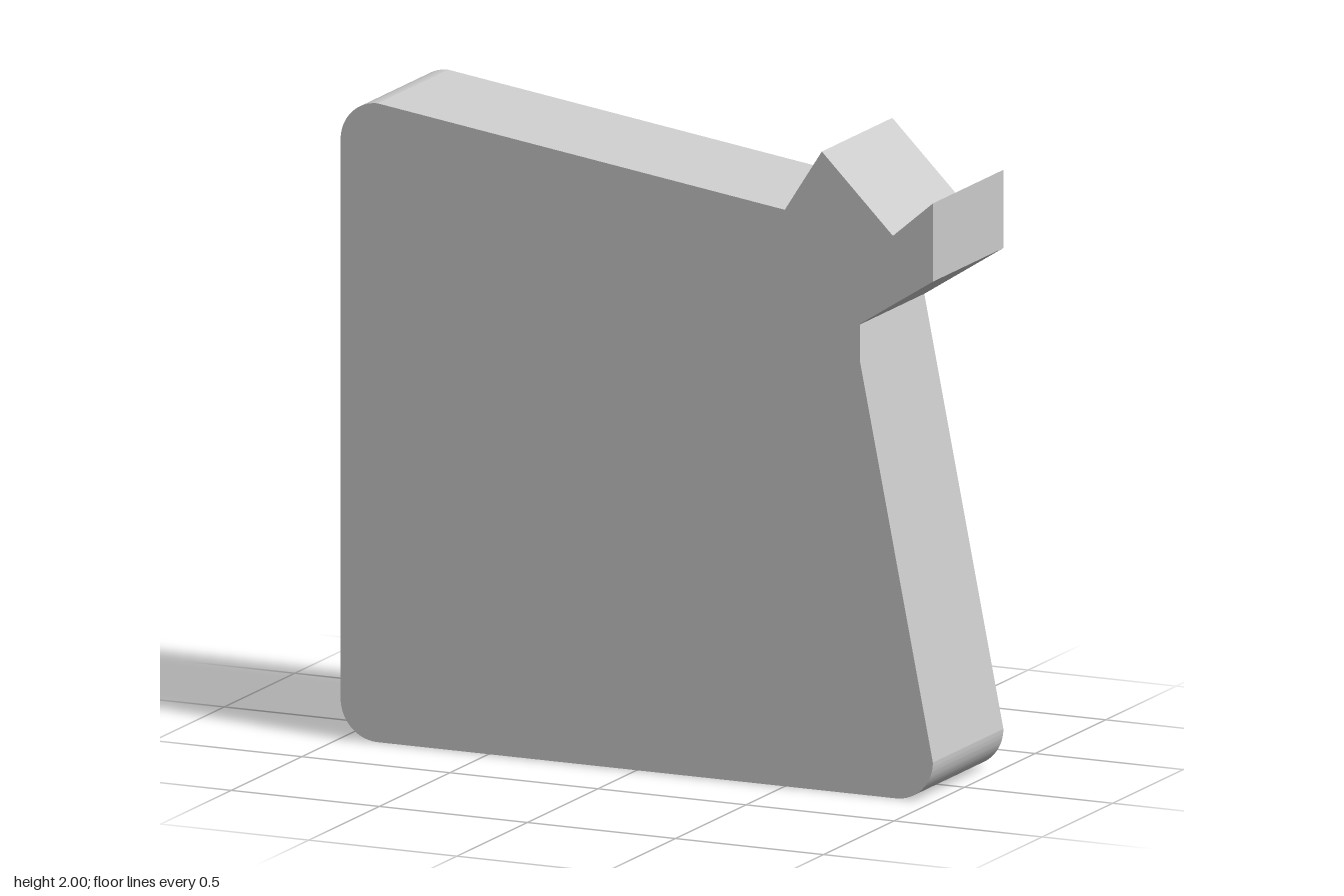
import * as THREE from 'three';
import { toCreasedNormals } from 'three/addons/utils/BufferGeometryUtils.js';

const grey = new THREE.MeshStandardMaterial({ color: 0xcccccc });
const greySheet = new THREE.MeshStandardMaterial({ color: 0xcccccc, side: THREE.DoubleSide });

const depth = 0.5, back = -0.275, radius = 0.125;

// Slab outline: three rounded corners, and a notched crest at the upper right
function bodyShape() {
  const inner = 1 - radius;
  const s = new THREE.Shape();
  s.moveTo(-inner, 0);
  s.lineTo(inner, 0);
  s.absarc(inner, radius, radius, -Math.PI / 2, 0);
  for (const [x, y] of [
    [0.733, 1.46], [1, 1.63], [1, 1.875],
    [0.865, 1.76], [0.625, 2], [0.5, 1.805],
  ]) s.lineTo(x, y);
  s.lineTo(-inner, 2);
  s.absarc(-inner, 2 - radius, radius, Math.PI / 2, Math.PI);
  s.lineTo(-1, radius);
  s.absarc(-inner, radius, radius, Math.PI, Math.PI * 1.5);
  return s;
}

export function createModel() {
  const model = new THREE.Group();
  model.name = 'notchedSlab';

  // Thick body
  const geometry = new THREE.ExtrudeGeometry(bodyShape(), { depth, bevelEnabled: false, curveSegments: 16 });
  const body = new THREE.Mesh(toCreasedNormals(geometry, 0.12), grey);
  body.name = 'body';
  body.position.z = back;
  model.add(body);

  // Thin square sheet floating just in front of the body
  const panel = new THREE.Mesh(new THREE.PlaneGeometry(1.555, 1.5), greySheet);
  panel.name = 'frontPanel';
  panel.position.set(0, 1.003, 0.275);
  model.add(panel);

  return model;
}
